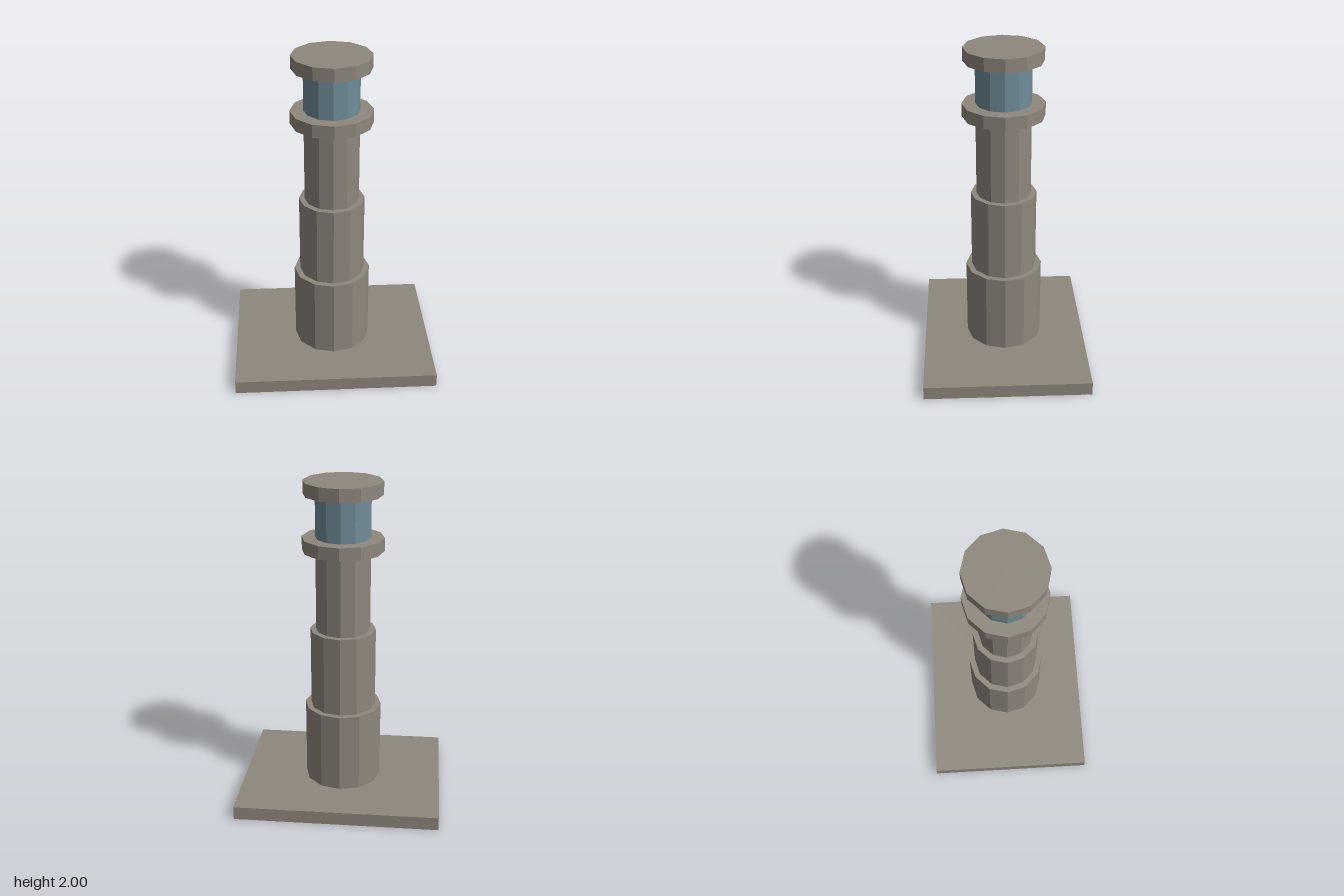
import * as THREE from 'three';

const stone = new THREE.MeshStandardMaterial({ color: 0x8f877d, flatShading: true });
stone.name = 'stone';
const glass = new THREE.MeshStandardMaterial({ color: 0x718d99, flatShading: true });
glass.name = 'glass';

const SIDES = 12;

export function createModel() {
  const model = new THREE.Group();
  model.name = 'lighthouse';

  const add = (name, geometry, material, bottom, top) => {
    const mesh = new THREE.Mesh(geometry, material);
    mesh.name = name;
    mesh.position.y = (bottom + top) / 2;
    model.add(mesh);
  };

  // Flat rectangular foundation
  add('foundation', new THREE.BoxGeometry(1.25, 0.083, 1.025), stone, 0, 0.083);

  // Stacked twelve-sided drums: name, radius, bottom, top, material
  const drums = [
    ['lowerTower', 0.238, 0.083, 0.583, stone],
    ['middleTower', 0.202, 0.583, 1.083, stone],
    ['upperTower', 0.167, 1.083, 1.583, stone],
    ['gallery', 0.248, 1.583, 1.663, stone],
    ['lanternRoom', 0.167, 1.663, 1.92, glass],
    ['roof', 0.238, 1.92, 2, stone],
  ];
  for (const [name, radius, bottom, top, material] of drums) {
    add(name, new THREE.CylinderGeometry(radius, radius, top - bottom, SIDES), material, bottom, top);
  }

  return model;
}
